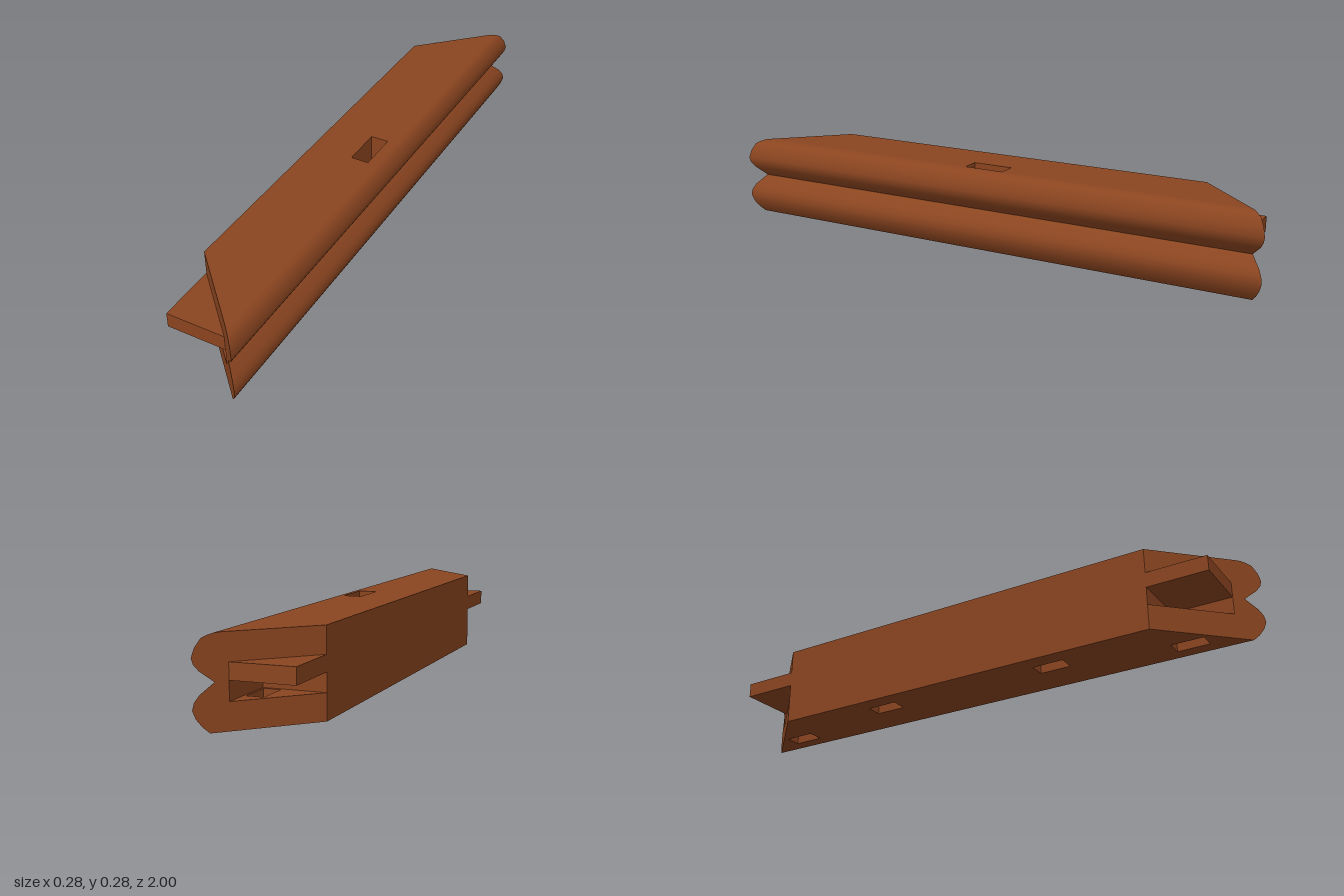
import * as THREE from 'three';
import { toCreasedNormals } from 'three/addons/utils/BufferGeometryUtils.js';

const H = 0.282, LEFT = -0.14;                 // beam height, flat side
const SLOT_X = 0.065, SLOT_Z = 0.72, SLOT_Y = 0.085, TENON_Y = 0.145, TENON_TOP = 0.197;
const mitre = (x) => 0.86 + x;                 // 45 degree end cut

// Double-bead profile of the moulded side, top to bottom
const BEAD = [
  [0.082, H], [0.094, 0.281], [0.107, 0.276], [0.12, 0.268], [0.133, 0.243], [0.14, 0.215], [0.136, 0.196], [0.125, 0.177],
  [0.094, 0.143],
  [0.125, 0.11], [0.136, 0.09], [0.14, 0.068], [0.133, 0.043], [0.12, 0.019], [0.105, 0],
];

function polygon(points) {
  return new THREE.Shape(points.map(([x, y]) => new THREE.Vector2(x, y)));
}

function rectPath(x, z, w, d) {
  return new THREE.Path([[-1, -1], [-1, 1], [1, 1], [1, -1]].map(
    ([i, j]) => new THREE.Vector2(x + i * w / 2, z + j * d / 2)));
}

// Quads between two matching rows of points
function strip(a, b) {
  const pos = [];
  for (let i = 0; i < a.length - 1; i++) {
    pos.push(...a[i], ...b[i], ...b[i + 1], ...a[i], ...b[i + 1], ...a[i + 1]);
  }
  const g = new THREE.BufferGeometry();
  g.setAttribute('position', new THREE.Float32BufferAttribute(pos, 3));
  g.computeVertexNormals();
  return g;
}

// Reverse the winding so the other side is seen
function flip(geometry) {
  const g = geometry.index ? geometry.toNonIndexed() : geometry.clone();
  const p = g.attributes.position, a = new THREE.Vector3(), b = new THREE.Vector3();
  for (let i = 0; i < p.count; i += 3) {
    a.fromBufferAttribute(p, i + 1);
    b.fromBufferAttribute(p, i + 2);
    p.setXYZ(i + 1, b.x, b.y, b.z);
    p.setXYZ(i + 2, a.x, a.y, a.z);
  }
  g.computeVertexNormals();
  return g;
}

// Inward-facing box without the listed faces (+x -x +y -y +z -z)
function pocket(x, y0, y1, z, w, d, openFaces) {
  const box = new THREE.BoxGeometry(w, y1 - y0, d);
  const index = Array.from(box.index.array);
  box.setIndex(index.filter((_, i) => !openFaces.includes(Math.floor(i / 6))));
  return flip(box).translate(x, (y0 + y1) / 2, z);
}

export function createModel() {
  const wood = new THREE.MeshStandardMaterial({ color: 0x8b4520 });
  wood.name = 'brown wood';
  const model = new THREE.Group();
  model.name = 'mitredBeam';
  const add = (name, geometry, parent = model) => {
    const mesh = new THREE.Mesh(geometry, wood);
    mesh.name = name;
    parent.add(mesh);
  };

  // Moulded side and flat side
  const row = (pts, s) => pts.map(([x, y]) => [x, y, s * mitre(x)]);
  add('beadedSide', toCreasedNormals(strip(row(BEAD, -1), row(BEAD, 1)), 0.7));
  const flat = [[LEFT, 0], [LEFT, H]];
  add('flatSide', strip(row(flat, -1), row(flat, 1)));

  // Top face with its mortise
  const plan = (xr) => polygon([[LEFT, -mitre(LEFT)], [xr, -mitre(xr)], [xr, mitre(xr)], [LEFT, mitre(LEFT)]]);
  const top = plan(BEAD[0][0]);
  top.holes.push(rectPath(0.044, 0, 0.063, 0.145));
  add('topFace', new THREE.ShapeGeometry(top).rotateX(-Math.PI / 2).translate(0, H, 0));
  add('topMortise', pocket(0.044, H - 0.1, H, 0, 0.063, 0.145, [2]));

  // Bottom face with inner mortises and outer peg holes
  const HW = 0.056, HD = 0.11, PEG = [0.03, 0.785], INNER = [-0.053, 0.335];
  const bottom = plan(BEAD[BEAD.length - 1][0]);
  for (const s of [1, -1]) {
    for (const [x, z] of [PEG, INNER]) bottom.holes.push(rectPath(x, s * z, HW, HD));
    add('pegHole', pocket(PEG[0], 0, SLOT_Y, s * PEG[1], HW, HD, [2, 3]));
    add('bottomMortise', pocket(INNER[0], 0, SLOT_Y, s * INNER[1], HW, HD, [3]));
  }
  add('bottomFace', new THREE.ShapeGeometry(bottom).rotateX(Math.PI / 2));

  // Mitred end face, notched for the joint
  const endShape = polygon([
    [LEFT, 0], ...BEAD.slice().reverse(), [LEFT, H],
    [LEFT, TENON_TOP], [SLOT_X, TENON_TOP], [SLOT_X, SLOT_Y], [LEFT, SLOT_Y],
  ]);
  const endFace = new THREE.ShapeGeometry(endShape);
  const p = endFace.attributes.position;
  for (let i = 0; i < p.count; i++) p.setZ(i, mitre(p.getX(i)));
  endFace.computeVertexNormals();

  // Slot under the tenon: triangular floor, back wall, side wall
  const floorShape = polygon([[LEFT, SLOT_Z], [SLOT_X, SLOT_Z], [SLOT_X, mitre(SLOT_X)]]);
  floorShape.holes.push(rectPath(PEG[0], PEG[1], HW, HD));
  const floor = flip(new THREE.ShapeGeometry(floorShape).rotateX(Math.PI / 2)).translate(0, SLOT_Y, 0);
  const wall = (y) => [[LEFT, y, SLOT_Z], [SLOT_X, y, SLOT_Z], [SLOT_X, y, mitre(SLOT_X)]];
  const walls = strip(wall(TENON_TOP), wall(SLOT_Y));

  // Tenon projecting past the mitre
  const tenonLength = mitre(SLOT_X) - SLOT_Z;
  const tenon = new THREE.BoxGeometry(SLOT_X - LEFT, TENON_TOP - TENON_Y, tenonLength)
    .translate((LEFT + SLOT_X) / 2, (TENON_Y + TENON_TOP) / 2, SLOT_Z + tenonLength / 2);

  const parts = { endFace, slotFloor: floor, slotWalls: walls, tenon };
  for (const s of [1, -1]) {
    const end = new THREE.Group();
    end.name = s > 0 ? 'frontEnd' : 'backEnd';
    for (const [name, g] of Object.entries(parts)) {
      add(name, s > 0 ? g : flip(g.clone().scale(1, 1, -1)), end);
    }
    model.add(end);
  }
  return model;
}
